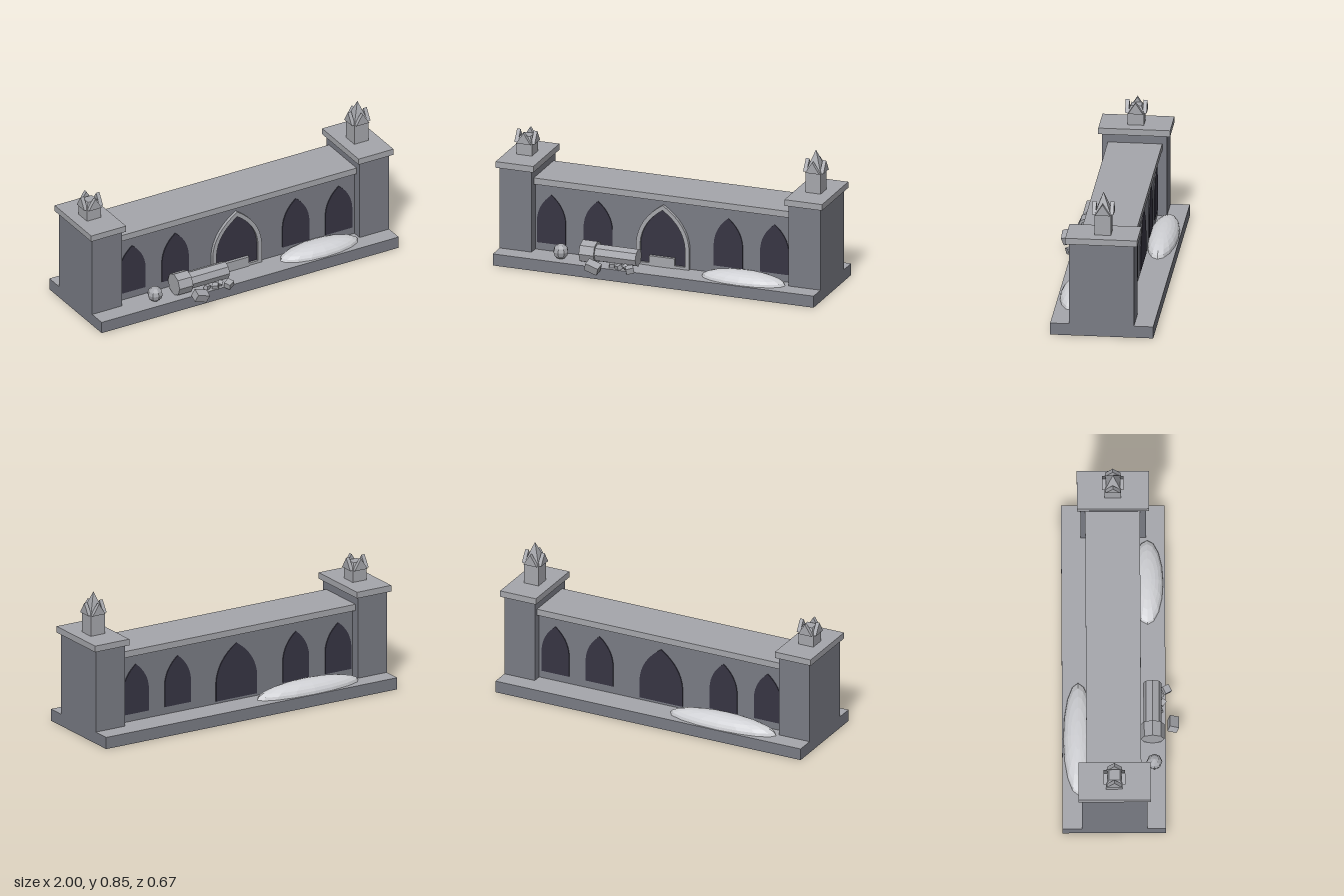
import * as THREE from 'three';

const mat = (name, color) => {
  const m = new THREE.MeshStandardMaterial({ color });
  m.name = name;
  return m;
};

export function createModel() {
  const root = new THREE.Group();
  root.name = 'ruinedArcade';
  const stone = mat('dark stone', 0x7a7c85);
  const trim = mat('pale stone', 0xa6a7ac);
  const glass = mat('dark window', 0x373543);
  const drift = mat('pale drift', 0xd0d1d5);
  const midZ = -0.04;

  const add = (name, geo, material, parent = root) => {
    const m = new THREE.Mesh(geo, material);
    m.name = name;
    parent.add(m);
    return m;
  };
  // Box given by its limits on each axis
  const box = (name, x0, x1, y0, y1, z0, z1, material, parent) => {
    const m = add(name, new THREE.BoxGeometry(x1 - x0, y1 - y0, z1 - z0), material, parent);
    m.position.set((x0 + x1) / 2, (y0 + y1) / 2, (z0 + z1) / 2);
    return m;
  };
  const flat = (geo) => {
    const g = geo.toNonIndexed();
    g.computeVertexNormals();
    return g;
  };
  // Pointed arch outline: half width, bottom, spring line, apex
  const arch = (w, b, s, a, Type = THREE.Shape) => {
    const p = new Type();
    const c = s + (a - s) * 0.6;
    p.moveTo(-w, b);
    p.lineTo(w, b);
    p.lineTo(w, s);
    p.quadraticCurveTo(w * 0.93, c, 0, a);
    p.quadraticCurveTo(-w * 0.93, c, -w, s);
    p.closePath();
    return p;
  };
  const extrude = (shape, depth) =>
    new THREE.ExtrudeGeometry(shape, { depth, bevelEnabled: false, curveSegments: 8 });

  // Plinth with a pale top, wall and coping
  box('plinth', -0.98, 0.98, 0, 0.07, -0.335, 0.255, [stone, stone, trim, stone, stone, stone]);
  box('wall', -0.79, 0.79, 0.07, 0.47, -0.17, 0.09, stone);
  box('coping', -0.785, 0.785, 0.47, 0.508, -0.198, 0.114, trim);

  // Arched windows on both faces
  for (const [x, w, b, s, a] of [
    [-0.685, 0.088, 0.115, 0.25, 0.41], [-0.4, 0.088, 0.115, 0.25, 0.41],
    [0, 0.138, 0.085, 0.2, 0.415],
    [0.396, 0.088, 0.115, 0.25, 0.41], [0.679, 0.088, 0.115, 0.25, 0.41],
  ]) {
    for (const z of [0.088, -0.176]) {
      add('window', extrude(arch(w, b, s, a), 0.008), glass).position.set(x, 0, z);
    }
  }

  // Raised frame around the front centre arch
  const frame = arch(0.162, 0.07, 0.2, 0.442);
  frame.holes.push(arch(0.137, 0.085, 0.2, 0.412, THREE.Path));
  add('archFrame', extrude(frame, 0.022), trim).position.z = 0.088;

  // End piers with caps
  for (const s of [-1, 1]) {
    const pier = new THREE.Group();
    pier.name = s > 0 ? 'leftPier' : 'rightPier';
    pier.position.x = s * 0.8825;
    root.add(pier);
    box('pierShaft', -0.0975, 0.0975, 0.07, 0.56, -0.225, 0.148, stone, pier);
    box('pierCap', -0.115, 0.115, 0.56, 0.597, -0.245, 0.167, trim, pier);
  }

  // Pinnacle with four gables; the broken one has a blunt spire
  const pinnacle = (name, x, top, spireHeight, tipHalf) => {
    const g = new THREE.Group();
    g.name = name;
    g.position.set(x, 0, midZ);
    root.add(g);
    const h = 0.047;
    box('pinnacleShaft', -h, h, 0.597, top, -h, h, trim, g);
    const spire = new THREE.CylinderGeometry(tipHalf * Math.SQRT2, h * Math.SQRT2, spireHeight, 4);
    spire.rotateY(Math.PI / 4);
    add('spire', flat(spire), trim, g).position.y = top + spireHeight / 2;
    const tri = new THREE.Shape();
    tri.moveTo(-0.043, 0);
    tri.lineTo(0.043, 0);
    tri.lineTo(0, 0.067);
    tri.closePath();
    for (let i = 0; i < 4; i++) {
      const geo = extrude(tri, 0.022);
      geo.translate(0, 0, 0.04);
      const gable = add('gable', geo, trim, g);
      gable.position.y = top;
      gable.rotation.y = (i * Math.PI) / 2;
    }
  };
  pinnacle('wholePinnacle', 0.88, 0.72, 0.125, 0);
  pinnacle('brokenPinnacle', -0.885, 0.668, 0.04, 0.031);

  // Fallen octagonal column with its collar
  const drum = (name, x0, x1, r) => {
    const geo = new THREE.CylinderGeometry(r, r, x1 - x0, 8);
    geo.rotateZ(Math.PI / 2);
    add(name, flat(geo), trim).position.set((x0 + x1) / 2, 0.133, 0.18);
  };
  drum('columnCollar', -0.46, -0.37, 0.067);
  drum('columnDrum', -0.37, -0.12, 0.052);

  // Fallen ball, slab and loose blocks
  add('fallenBall', flat(new THREE.SphereGeometry(0.045, 8, 6)), trim).position.set(-0.59, 0.115, 0.19);
  box('fallenSlab', -0.08, 0.075, 0.07, 0.13, 0.09, 0.115, trim);
  for (const [x, y, z, w, h, d, rx, ry, rz] of [
    [-0.352, 0.087, 0.298, 0.08, 0.05, 0.054, 0.3, -0.1, -0.3],
    [-0.143, 0.085, 0.26, 0.045, 0.035, 0.04, 0.2, 0.5, 0.1],
    [-0.22, 0.083, 0.238, 0.036, 0.026, 0.03, 0.3, -0.6, 0.3],
    [-0.265, 0.082, 0.222, 0.03, 0.024, 0.026, 0.1, 0.4, -0.2],
    [-0.18, 0.084, 0.225, 0.026, 0.026, 0.026, 0.4, 0.8, 0.2],
  ]) {
    const block = add('looseBlock', new THREE.BoxGeometry(w, h, d), trim);
    block.position.set(x, y, z);
    block.rotation.set(rx, ry, rz);
  }

  // Low drifts against the wall
  for (const [name, x, z, rx, ry, rz] of [
    ['frontDrift', 0.513, 0.155, 0.255, 0.06, 0.09],
    ['backDrift', -0.435, -0.243, 0.34, 0.068, 0.086],
  ]) {
    const geo = new THREE.SphereGeometry(1, 16, 6, 0, Math.PI * 2, 0, Math.PI / 2);
    geo.scale(rx, ry, rz);
    add(name, flat(geo), drift).position.set(x, 0.07, z);
  }
  return root;
}
